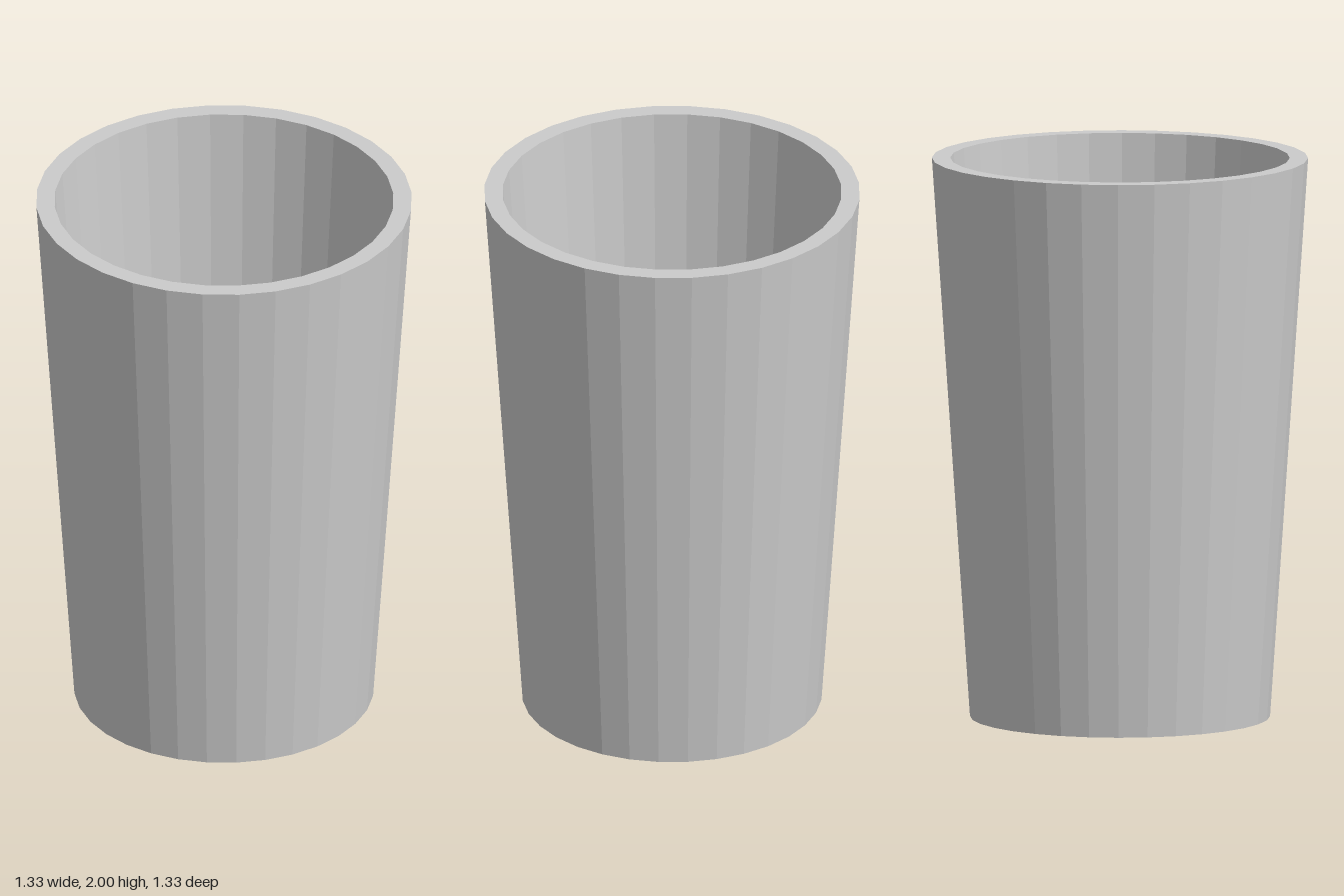
import * as THREE from 'three';

const SIDES = 32;

export function createModel() {
  const group = new THREE.Group();
  group.name = 'cup';
  const material = new THREE.MeshStandardMaterial({ color: 0xcccccc, flatShading: true });

  // Closed profile: base, tapered outer wall, flat rim, inner wall, floor
  const profile = [
    [0, 0], [0.532, 0], [0.667, 2], [0.602, 2], [0.479, 0.18], [0, 0.18],
  ].map(([r, y]) => new THREE.Vector2(r, y));

  const body = new THREE.Mesh(new THREE.LatheGeometry(profile, SIDES), material);
  body.name = 'cupBody';
  group.add(body);
  return group;
}
